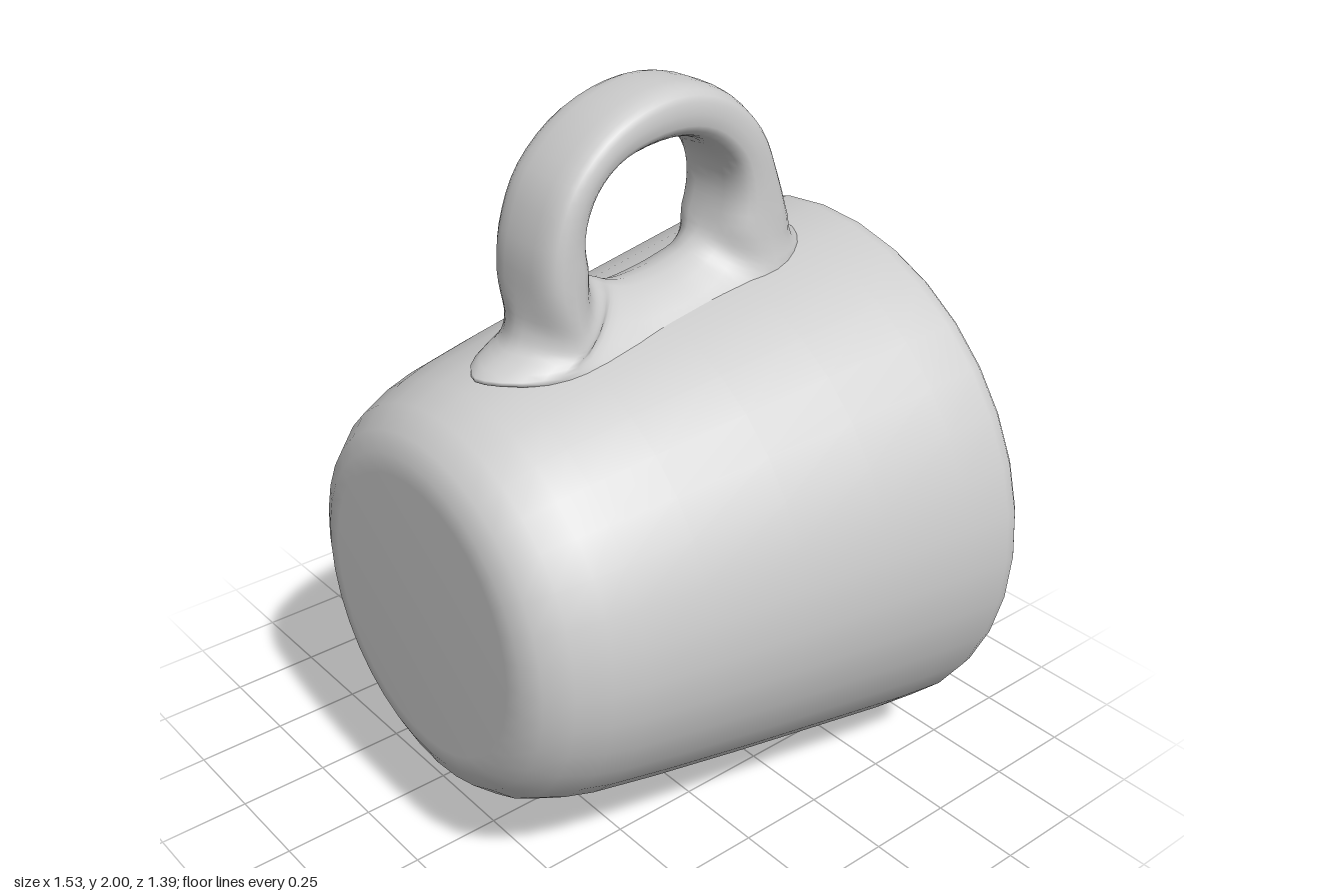
import * as THREE from 'three';

const AXIS_Y = 0.767;

// Cup wall as [radius, z]: bowl-shaped inside, rim, outer wall, base
function createCup(material) {
  const profile = [
    [0, 0.54], [0.18, 0.537], [0.28, 0.52], [0.36, 0.48], [0.425, 0.41], [0.47, 0.32], [0.51, 0.2],
    [0.57, -0.03], [0.632, -0.38], [0.66, -0.58], [0.669, -0.63], [0.684, -0.668], [0.705, -0.69],
    [0.728, -0.696], [0.748, -0.69], [0.762, -0.672], [0.767, -0.64], [0.75, -0.5], [0.71, -0.25],
    [0.67, 0], [0.625, 0.26], [0.59, 0.44], [0.567, 0.52], [0.53, 0.605],
    [0.48, 0.663], [0.43, 0.688], [0.38, 0.695], [0, 0.695],
  ].map(([r, z]) => new THREE.Vector2(r, z));
  const geometry = new THREE.LatheGeometry(profile, 36);
  geometry.rotateX(Math.PI / 2);
  const cup = new THREE.Mesh(geometry, material);
  cup.name = 'cup';
  cup.position.y = AXIS_Y;
  return cup;
}

// Closed ring of rounded sections; its lower part sinks into the cup wall
function createHandle(material) {
  // [inner z, inner y, outer z, outer y, half width]
  const stations = [
    [0.20, 1.60, 0.36, 1.54, 0.133], [0.216, 1.70, 0.345, 1.68, 0.13],
    [0.18, 1.79, 0.28, 1.83, 0.128], [0.10, 1.845, 0.14, 1.95, 0.125],
    [-0.04, 1.863, -0.04, 2.0, 0.122], [-0.15, 1.84, -0.21, 1.965, 0.125],
    [-0.23, 1.77, -0.34, 1.85, 0.13], [-0.25, 1.68, -0.41, 1.70, 0.132],
    [-0.22, 1.58, -0.465, 1.56, 0.14], [-0.17, 1.54, -0.53, 1.50, 0.16],
    [-0.12, 1.52, -0.35, 1.44, 0.185], [-0.06, 1.505, -0.10, 1.41, 0.19],
    [0.02, 1.50, 0.25, 1.35, 0.185], [0.08, 1.512, 0.49, 1.355, 0.15],
    [0.12, 1.53, 0.40, 1.41, 0.145], [0.16, 1.55, 0.37, 1.46, 0.138],
  ];
  const closedCurve = (points) => new THREE.CatmullRomCurve3(points, true, 'catmullrom', 0.5);
  const inner = closedCurve(stations.map(([z, y, , , w]) => new THREE.Vector3(w, y, z)));
  const outer = closedCurve(stations.map(([, , z, y, w]) => new THREE.Vector3(w, y, z)));
  const rings = stations.length * 4, sides = 24;
  const power = (v, e) => Math.sign(v) * Math.abs(v) ** e;
  const positions = [], index = [];
  for (let i = 0; i < rings; i++) {
    const a = inner.getPoint(i / rings), b = outer.getPoint(i / rings);
    // Near the cup the section tapers and its sides droop into the wall
    const foot = 1 - THREE.MathUtils.smoothstep((a.y + b.y) / 2, 1.5, 1.6);
    const exponent = THREE.MathUtils.lerp(0.66, 1.2, foot);
    for (let j = 0; j < sides; j++) {
      const angle = (j / sides) * Math.PI * 2;
      const p = a.clone().lerp(b, 0.5 + 0.5 * power(Math.cos(angle), exponent));
      const x = p.x * power(Math.sin(angle), exponent);
      positions.push(x, p.y - 2.5 * foot * x * x, p.z);
      const i2 = (i + 1) % rings, j2 = (j + 1) % sides;
      const q = [i * sides + j, i * sides + j2, i2 * sides + j2, i2 * sides + j];
      index.push(q[0], q[1], q[3], q[1], q[2], q[3]);
    }
  }
  const geometry = new THREE.BufferGeometry();
  geometry.setAttribute('position', new THREE.Float32BufferAttribute(positions, 3));
  geometry.setIndex(index);
  geometry.computeVertexNormals();
  const handle = new THREE.Mesh(geometry, material);
  handle.name = 'handle';
  return handle;
}

export function createModel() {
  const material = new THREE.MeshStandardMaterial({ color: 0xcccccc });
  const group = new THREE.Group();
  group.name = 'mug';
  group.add(createCup(material), createHandle(material));
  return group;
}
